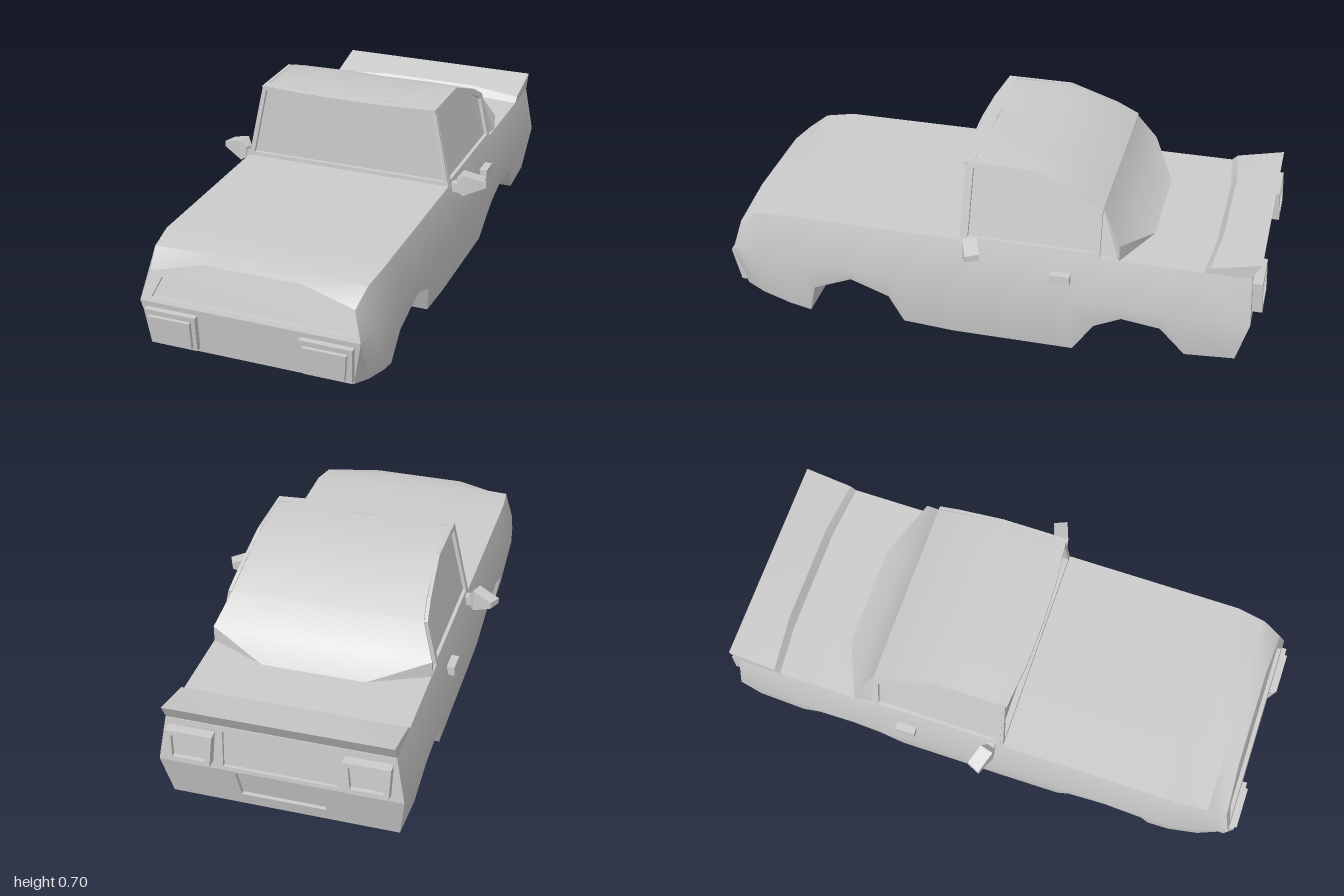
import * as THREE from 'three';
import { toCreasedNormals } from 'three/addons/utils/BufferGeometryUtils.js';
import { ConvexGeometry } from 'three/addons/geometries/ConvexGeometry.js';

const grey = new THREE.MeshStandardMaterial({ color: 0xcccccc, side: THREE.DoubleSide });

// Skin closed rings (counter-clockwise seen from the first ring's outside), with optional end caps
function loft(rings, capped) {
  const n = rings[0].length, index = [];
  for (let i = 0; i < rings.length - 1; i++) {
    for (let j = 0; j < n; j++) {
      const a = i * n + j, b = i * n + (j + 1) % n;
      index.push(a, a + n, b, b, a + n, b + n);
    }
  }
  if (capped) {
    const e = (rings.length - 1) * n;
    for (let j = 1; j < n - 1; j++) index.push(0, j, j + 1, e, e + j + 1, e + j);
  }
  const g = new THREE.BufferGeometry();
  g.setAttribute('position', new THREE.Float32BufferAttribute(rings.flat(2), 3));
  g.setIndex(index);
  return toCreasedNormals(g, 0.5);
}

// Flat plate from w = lo to w = hi, with an optional opening, placed by map(u, v, w)
function plate(outer, hole, lo, hi, map) {
  const vec = (pts) => pts.map(([u, v]) => new THREE.Vector2(u, v));
  const shape = new THREE.Shape(vec(outer));
  if (hole) shape.holes.push(new THREE.Path(vec(hole)));
  const g = new THREE.ExtrudeGeometry(shape, { depth: hi - lo, bevelEnabled: false });
  const p = g.attributes.position;
  for (let i = 0; i < p.count; i++) p.setXYZ(i, ...map(p.getX(i), p.getY(i), p.getZ(i) + lo));
  g.computeVertexNormals();
  return g;
}

// Mirror a half outline, listed from bottom to top, across u = 0
const both = (half) => [...half, ...half.map(([u, v]) => [-u, v]).reverse()];
const hull = (pts) => new ConvexGeometry(pts.map((p) => new THREE.Vector3(...p)));

// Sloped faces: z runs from z0 at y0 to z1 at y1
const slope = (y0, z0, y1, z1) => (y) => z0 + (z1 - z0) * (y - y0) / (y1 - y0);
const facingFront = (z) => (u, v, w) => [u, v, z(v) + w];
const facingBack = (z) => (u, v, w) => [-u, v, z(v) - w];

export function createModel() {
  const car = new THREE.Group();
  car.name = 'carBody';
  const add = (name, geometry) => {
    const m = new THREE.Mesh(geometry, grey);
    m.name = name;
    car.add(m);
  };

  // Main shell: sections of sill, waist, shoulder and deck, mirrored across x
  const section = (b, m, s, t) => {
    const f = ([x, y, z]) => [-x, y, z];
    return [f(b), b, m, s, t, f(t), f(s), f(m)];
  };
  const underside = [
    [0.76, 0.02], [0.68, 0], [0.65, 0.12], [0.5, 0.19], [0.36, 0.13], [0.31, 0.015], [0.12, 0],
    [-0.33, 0], [-0.41, 0.13], [-0.51, 0.185], [-0.65, 0.165], [-0.74, 0.055],
  ];
  add('shell', loft([
    section([0.365, 0.06, 0.94], [0.4, 0.235, 0.97], [0.37, 0.34, 0.943], [0.18, 0.39, 0.93]),
    section([0.39, 0.045, 0.87], [0.422, 0.235, 0.87], [0.387, 0.395, 0.87], [0.18, 0.403, 0.87]),
    ...underside.map(([z, y]) => section(
      [0.4 + 0.17 * y, y, z], [0.44, 0.235, z], [0.4, 0.41, z], [0.18, 0.41, z])),
    section([0.405, 0.065, -0.92], [0.43, 0.235, -0.965], [0.4, 0.41, -0.955], [0.18, 0.41, -0.955]),
  ]));

  // Nose: plain bumper below, recessed grille above
  const bumper = facingFront(slope(0.06, 0.94, 0.235, 0.97));
  const nose = facingFront(slope(0.235, 0.97, 0.39, 0.93));
  const noseOutline = both([[0.4, 0.235], [0.37, 0.34], [0.18, 0.39]]);
  add('frontBumper', plate(both([[0.365, 0.06], [0.4, 0.235]]), null, -0.01, 0, bumper));
  add('grilleFrame', plate(noseOutline,
    both([[0.36, 0.25], [0.325, 0.325], [0.18, 0.37]]), -0.015, 0, nose));
  add('grillePanel', plate(noseOutline, null, -0.025, -0.015, nose));

  // Tail: recessed centre panel above, recessed plate holder below
  const tailLow = facingBack(slope(0.065, -0.92, 0.235, -0.965));
  const tailHigh = facingBack(slope(0.235, -0.965, 0.41, -0.955));
  const low = both([[0.405, 0.065], [0.43, 0.235]]);
  const high = both([[0.43, 0.235], [0.4, 0.41]]);
  add('rearBumper', plate(low, both([[0.15, 0.115], [0.16, 0.225]]), -0.015, 0, tailLow));
  add('plateRecess', plate(low, null, -0.025, -0.015, tailLow));
  add('tailFrame', plate(high, both([[0.2, 0.25], [0.2, 0.39]]), -0.012, 0, tailHigh));
  add('tailPanel', plate(high, null, -0.022, -0.012, tailHigh));

  // Rear spoiler, its leading edge swept back at the middle
  const blade = (x, z, y) => [[x, 0.405, z], [x, 0.4, -0.945], [x, 0.47, -0.985], [x, y, z - 0.025]];
  add('spoiler', loft([
    blade(0.4, -0.785, 0.43), blade(0.19, -0.805, 0.445),
    blade(-0.19, -0.805, 0.445), blade(-0.4, -0.785, 0.43),
  ], true));

  // Cabin from windscreen to the foot of the rear window: z, foot x, foot y, top x, top y, crown
  add('cabin', loft([
    [0.065, 0.388, 0.4, 0.328, 0.695, 0.005], [-0.16, 0.388, 0.4, 0.328, 0.697, 0.005],
    [-0.34, 0.388, 0.4, 0.34, 0.63, 0.003], [-0.42, 0.39, 0.4, 0.35, 0.585, 0.002],
    [-0.49, 0.4, 0.4, 0.4, 0.47, 0], [-0.585, 0.19, 0.4, 0.19, 0.41, 0],
  ].map(([z, xb, yb, xt, yt, c]) => [
    [-xb, yb, z], [xb, yb, z], [xt, yt, z], [0.17, yt + c, z], [0, yt, z], [-0.17, yt + c, z], [-xt, yt, z],
  ]), true));
  add('windscreenFrame', plate(both([[0.4, 0.405], [0.34, 0.695]]),
    both([[0.378, 0.425], [0.327, 0.68]]), 0, 0.014, facingFront(slope(0.405, 0.075, 0.695, 0.065))));

  // Bowed roof lip over the windscreen
  add('roofLip', plate(both([[0.34, 0.05], [0.34, 0.085], [0.17, 0.102], [0, 0.107]]).filter((p, i) => i !== 4),
    null, 0.685, 0.698, (u, v, w) => [-u, w, v]));

  const doorX = slope(0.41, 0.388, 0.695, 0.328);
  for (const s of [1, -1]) {
    const side = s > 0 ? 'left' : 'right';

    // Side window frame leaning with the cabin
    const zy = (pts) => pts.map(([z, y]) => [-s * z, y]);
    add(side + 'WindowFrame', plate(
      zy([[0.078, 0.405], [0.07, 0.698], [-0.16, 0.698], [-0.34, 0.63], [-0.42, 0.585], [-0.42, 0.405]]),
      zy([[0.06, 0.425], [0.05, 0.68], [-0.155, 0.68], [-0.325, 0.612], [-0.398, 0.57], [-0.398, 0.425]]),
      0, 0.013, (u, v, w) => [s * (doorX(v) + w), v, -s * u]));

    // Headlight: wide surround with a narrower lens stepping out
    const sx = (pts) => pts.map(([x, y]) => [s * x, y]);
    add(side + 'HeadlightSurround', plate(
      sx([[0.195, 0.075], [0.367, 0.075], [0.378, 0.215], [0.188, 0.215]]), null, 0, 0.022, bumper));
    add(side + 'HeadlightLens', plate(
      sx([[0.208, 0.088], [0.347, 0.088], [0.36, 0.195], [0.204, 0.195]]), null, 0.022, 0.036, bumper));

    // Tail light: raised frame around a sunken lens
    const lamp = sx([[0.235, 0.265], [0.385, 0.265], [0.39, 0.385], [0.225, 0.385]]);
    add(side + 'TailLightFrame', plate(lamp,
      sx([[0.253, 0.283], [0.367, 0.283], [0.37, 0.367], [0.245, 0.367]]), 0, 0.036, tailHigh));
    add(side + 'TailLightLens', plate(lamp, null, 0, 0.02, tailHigh));

    // Door mirror: tapered head on a short stalk
    const head = [];
    for (const [x, z, y0, y1] of [
      [0.415, 0.035, 0.385, 0.425], [0.425, 0.065, 0.385, 0.425], [0.435, 0.015, 0.368, 0.452],
      [0.448, 0.065, 0.37, 0.45], [0.505, -0.01, 0.403, 0.428], [0.527, 0.037, 0.403, 0.425],
    ]) head.push([s * x, y0, z], [s * x, y1, z]);
    add(side + 'MirrorHead', hull(head));
    const stalk = new THREE.BoxGeometry(0.05, 0.035, 0.03);
    stalk.translate(s * 0.405, 0.395, 0.045);
    add(side + 'MirrorStalk', stalk);

    // Door handle
    const handle = new THREE.BoxGeometry(0.04, 0.035, 0.075);
    handle.translate(s * 0.425, 0.322, -0.285);
    add(side + 'DoorHandle', handle);
  }
  return car;
}
